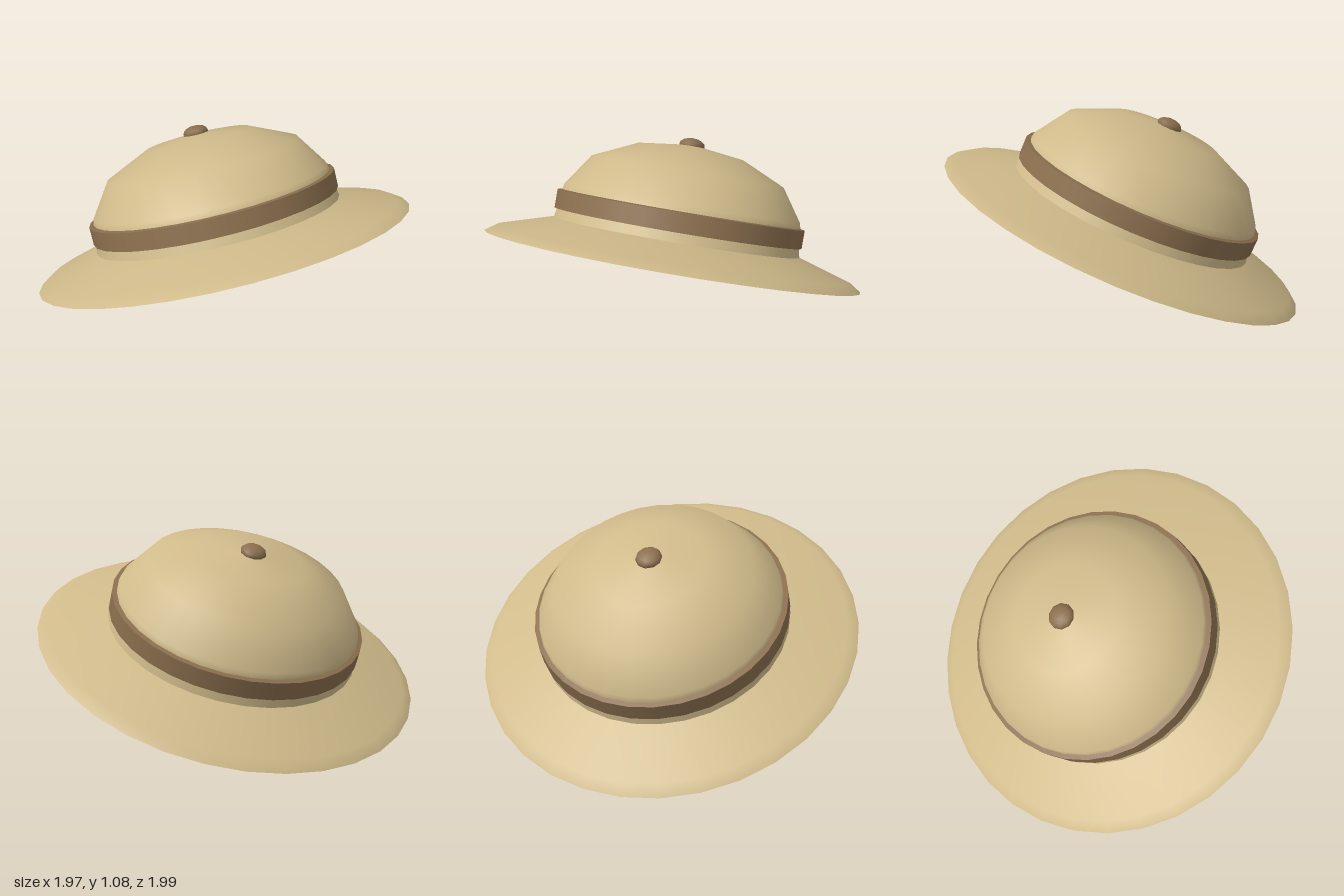
import * as THREE from 'three';

const SEGMENTS = 32;

export function createModel() {
  const straw = new THREE.MeshStandardMaterial({ color: 0xcfba8a, side: THREE.DoubleSide });
  straw.name = 'straw';
  const leather = new THREE.MeshStandardMaterial({ color: 0x8b6f4e, side: THREE.DoubleSide });
  leather.name = 'leather';

  const hat = new THREE.Group();
  hat.name = 'sunHelmet';

  // Turned part from [radius, height] pairs; outer faces run bottom to top
  function turned(name, profile, material) {
    const points = profile.map(([r, y]) => new THREE.Vector2(r, y));
    const mesh = new THREE.Mesh(new THREE.LatheGeometry(points, SEGMENTS), material);
    mesh.name = name;
    hat.add(mesh);
  }

  // Brim: sloping top with a bevelled edge, and a shallow hollow underside
  turned('brimUnderside', [[0.645, 0.09], [1.033, 0]], straw);
  turned('brimTop', [[1.033, 0], [0.975, 0.04], [0.678, 0.13]], straw);

  // Crown wall outside and the lip around the opening
  turned('crownWall', [[0.678, 0.13], [0.668, 0.18]], straw);
  turned('innerLip', [[0.645, 0.14], [0.645, 0.09]], straw);

  // Hat band: outer face, its top and bottom ledges, and the sweatband inside
  turned('bandBottom', [[0.668, 0.18], [0.682, 0.18]], leather);
  turned('band', [[0.682, 0.18], [0.682, 0.28]], leather);
  turned('bandTop', [[0.682, 0.28], [0.655, 0.285]], leather);
  turned('sweatband', [[0.65, 0.287], [0.645, 0.14]], leather);

  // Dome, hollow from below
  turned('dome', [[0.657, 0.285], [0.65, 0.315], [0.53, 0.49], [0.29, 0.6], [0, 0.637]], straw);

  // Button on the crown
  const button = new THREE.Mesh(new THREE.SphereGeometry(0.07, 10, 8), leather);
  button.name = 'button';
  button.scale.y = 0.55;
  button.position.y = 0.635;
  hat.add(button);

  // The helmet rests tilted back and to its right
  hat.rotation.set(-0.269, 0, 0.311);
  hat.position.y = 0.41;

  const model = new THREE.Group();
  model.name = 'hat';
  model.add(hat);
  return model;
}
